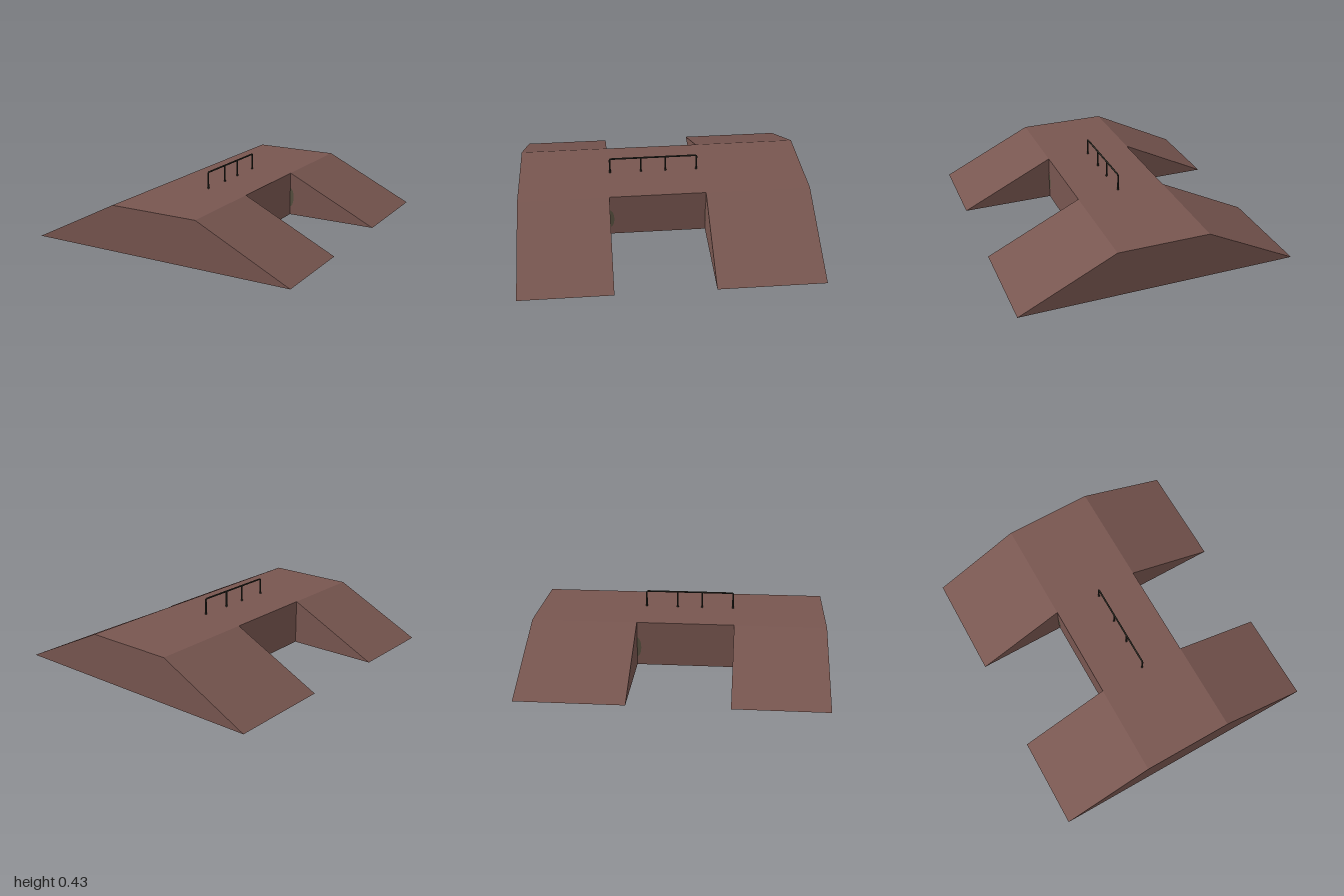
import * as THREE from 'three';

const H = 0.31, FOOT = 0.94;          // deck height, half width at ground
const XL = 0.30, XR = -0.32;          // deck edges
const ZF = 0.38, ZB = -0.28;          // notch limits

export function createModel() {
  const model = new THREE.Group();
  const brown = new THREE.MeshStandardMaterial({ color: 0x785650, side: THREE.DoubleSide });
  brown.name = 'brown';
  const dark = new THREE.MeshStandardMaterial({ color: 0x2e2c25 });
  dark.name = 'darkMetal';
  const olive = new THREE.MeshStandardMaterial({ color: 0x57503f, side: THREE.DoubleSide });
  olive.name = 'olive';

  const add = (name, geo, mat, parent = model) => {
    const m = new THREE.Mesh(geo, mat);
    m.name = name;
    parent.add(m);
    return m;
  };

  // Flat convex panel, turned so that it faces the given outward direction
  const panel = (name, pts, out) => {
    let p = pts.map(a => new THREE.Vector3(...a));
    const n = p[1].clone().sub(p[0]).cross(p[2].clone().sub(p[0]));
    if (n.dot(new THREE.Vector3(...out)) < 0) p.reverse();
    const tri = [];
    for (let i = 1; i < p.length - 1; i++) tri.push(p[0], p[i], p[i + 1]);
    const g = new THREE.BufferGeometry().setFromPoints(tri);
    g.computeVertexNormals();
    return add(name, g, brown);
  };

  // Deck, a hollow shell open underneath
  panel('deck', [[XR, H, 1], [XL, H, 1], [XL, H, -1], [XR, H, -1]], [0, 1, 0]);

  // End walls
  for (const z of [1, -1])
    panel('endWall', [[-FOOT, 0, z], [FOOT, 0, z], [XL, H, z], [XR, H, z]], [0, 0, z]);

  // Ramps, the triangular notch walls beside them, and the upright middle walls
  for (const [x, s] of [[XL, 1], [XR, -1]]) {
    for (const [z, e] of [[ZF, 1], [ZB, -1]]) {
      panel('ramp', [[x, H, z], [x, H, e], [s * FOOT, 0, e], [s * FOOT, 0, z]], [s, 1, 0]);
      panel('notchWall', [[x, 0, z], [s * FOOT, 0, z], [x, H, z]], [0, 0, -e]);
    }
    panel('middleWall', [[x, 0, ZF], [x, 0, ZB], [x, H, ZB], [x, H, ZF]], [s, 0, 0]);
  }

  // Small half-lens stains in the notch corners
  const stain = (x, z, ry) => {
    const m = add('cornerStain', new THREE.CircleGeometry(0.07, 16, -Math.PI / 2, Math.PI), olive);
    m.scale.x = 0.4;
    m.rotation.y = ry;
    m.position.set(x, 0.13, z);
  };
  stain(XL + 0.002, ZF, Math.PI / 2);
  stain(XL, ZB + 0.002, 0);
  stain(XR - 0.002, ZB, -Math.PI / 2);

  // Grind rail: one bent bar with two inner posts
  const rail = new THREE.Group();
  rail.name = 'rail';
  model.add(rail);
  const v = (y, z) => new THREE.Vector3(0, y, z);
  const top = 0.423, z0 = 0.365, z1 = -0.247, r = 0.012, low = H - 0.008;
  const path = new THREE.CurvePath();
  path.add(new THREE.LineCurve3(v(low, z0), v(top - r, z0)));
  path.add(new THREE.QuadraticBezierCurve3(v(top - r, z0), v(top, z0), v(top, z0 - r)));
  path.add(new THREE.LineCurve3(v(top, z0 - r), v(top, z1 + r)));
  path.add(new THREE.QuadraticBezierCurve3(v(top, z1 + r), v(top, z1), v(top - r, z1)));
  path.add(new THREE.LineCurve3(v(top - r, z1), v(low, z1)));
  add('railBar', new THREE.TubeGeometry(path, 160, 0.006, 8), dark, rail);
  for (const z of [0.147, -0.027])
    add('railPost', new THREE.CylinderGeometry(0.006, 0.006, top - low, 8), dark, rail)
      .position.set(0, (top + low) / 2, z);
  for (const z of [z0, 0.147, -0.027, z1])
    add('postFoot', new THREE.CylinderGeometry(0.007, 0.008, 0.012, 8), dark, rail)
      .position.set(0, H + 0.002, z);

  return model;
}
